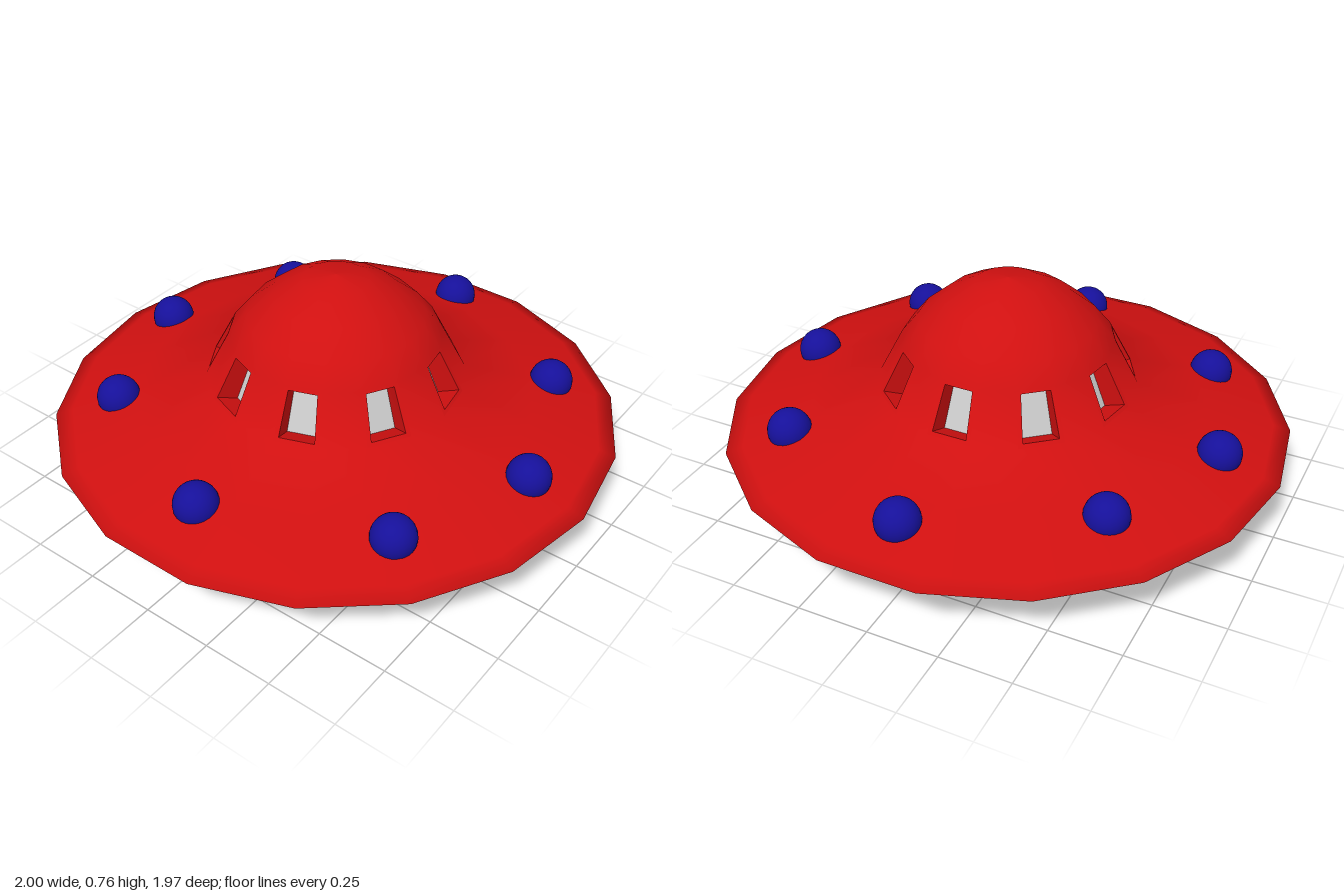
import * as THREE from 'three';

const SIDES = 18;
const HALF = Math.PI / SIDES;
const BASE = [0.455, 0.38];   // dome foot: radius, height
const SHOULDER = [0.37, 0.545]; // top of the window band
const BAND = 7;               // profile segment holding the windows

const red = new THREE.MeshStandardMaterial({ color: 0xd01010 });
const blue = new THREE.MeshStandardMaterial({ color: 0x16109a });
const grey = new THREE.MeshStandardMaterial({ color: 0xcccccc });

// Saucer and dome as one smooth profile, with every other band facet left open
function hullGeometry() {
  const profile = [
    [0, 0.005], [0.27, 0.005], [0.62, 0.12], [0.95, 0.2], [1, 0.215], [0.94, 0.235], [0.7, 0.307],
    BASE, SHOULDER, [0.31, 0.62], [0.22, 0.695], [0.115, 0.752], [0, 0.77],
  ].map(([r, y]) => new THREE.Vector2(r, y));
  const g = new THREE.LatheGeometry(profile, SIDES, Math.PI / 2);
  const rows = profile.length - 1;
  const index = Array.from(g.index.array).filter((_, k) => {
    const cell = Math.floor(k / 6);
    const open = cell % rows === BAND && Math.floor(cell / rows) % 2 === 0;
    return !open;
  });
  g.setIndex(index);
  return g;
}

// Non-indexed geometry from counter-clockwise quads
function quadGeometry(quads) {
  const g = new THREE.BufferGeometry().setFromPoints(
    quads.flatMap(([a, b, c, d]) => [a, b, c, a, c, d]));
  g.computeVertexNormals();
  return g;
}

// Ring of four quads between two rectangles of corners
const bridge = (outer, inner) => outer.map((p, k) => {
  const n = (k + 1) % 4;
  return [p, outer[n], inner[n], inner[k]];
});

export function createModel() {
  const group = new THREE.Group();
  const add = (name, geometry, material) => {
    const mesh = new THREE.Mesh(geometry, material);
    mesh.name = name;
    group.add(mesh);
    return mesh;
  };

  add('hull', hullGeometry(), red);

  // Recessed windows in the open facets
  const frames = [], recesses = [], panes = [];
  for (let i = 0; i < SIDES; i += 2) {
    const phi = Math.PI / 2 + HALF + i * 2 * HALF;
    const s = Math.sin(phi), c = Math.cos(phi);
    const point = (u, d, y) => new THREE.Vector3(s * d + c * u, y, c * d - s * u);
    // Each edge: half width, distance from the axis, height
    const rect = (low, high) => [
      point(-low[0], low[1], low[2]), point(low[0], low[1], low[2]),
      point(high[0], high[1], high[2]), point(-high[0], high[1], high[2]),
    ];
    const edge = ([r, y]) => [r * Math.sin(HALF), r * Math.cos(HALF), y];
    const low = edge(BASE), high = edge(SHOULDER);
    const along = (v, half) => [half,
      THREE.MathUtils.lerp(low[1], high[1], v), THREE.MathUtils.lerp(low[2], high[2], v)];
    const sill = along(0.08, 0.062), lintel = along(0.95, 0.05);

    const opening = rect(sill, lintel);
    const pane = rect([0.058, sill[1] - 0.075, sill[2] - 0.03],
      [0.047, lintel[1] - 0.065, lintel[2] - 0.01]);
    frames.push(...bridge(rect(low, high), opening));
    recesses.push(...bridge(opening, pane));
    panes.push(pane);
  }

  // Frame normals follow the round dome
  const frame = quadGeometry(frames);
  const pos = frame.attributes.position, n = new THREE.Vector3();
  for (let k = 0; k < pos.count; k++) {
    const v = (pos.getY(k) - BASE[1]) / (SHOULDER[1] - BASE[1]);
    const x = pos.getX(k), z = pos.getZ(k);
    n.set(x, Math.hypot(x, z) * THREE.MathUtils.lerp(1.0, 0.64, v), z).normalize();
    frame.attributes.normal.setXYZ(k, n.x, n.y, n.z);
  }
  add('windowFrames', frame, red);
  add('windowRecesses', quadGeometry(recesses), red);
  add('windowPanes', quadGeometry(panes), grey);

  // Ring of lights, slightly uneven
  const lightGeometry = new THREE.SphereGeometry(0.077, 24, 16);
  [[0, -0.785], [0.585, -0.51], [0.79, 0], [0.6, 0.5],
    [0.01, 0.755], [-0.59, 0.495], [-0.785, 0], [-0.575, -0.48]].forEach(([x, z], k) => {
    add(`light${k + 1}`, lightGeometry, blue).position.set(x, 0.288, z);
  });
  return group;
}
